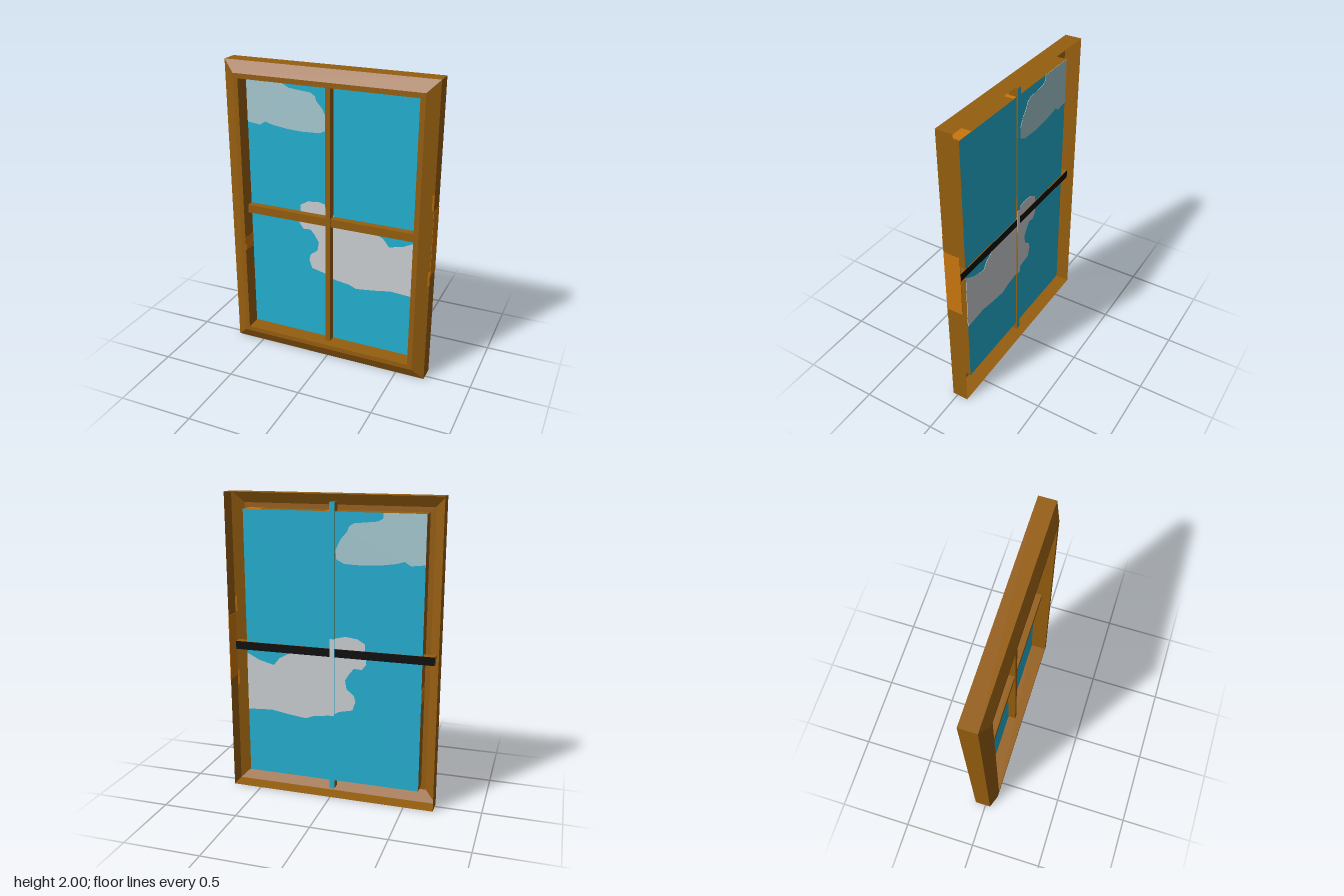
import * as THREE from 'three';

const mat = (name, color, side = THREE.FrontSide) => {
  const m = new THREE.MeshStandardMaterial({ color, side });
  m.name = name;
  return m;
};

export function createModel() {
  const group = new THREE.Group();
  const wood = mat('brown wood', 0x965e0f, THREE.DoubleSide);
  const worn = mat('orange wood', 0xca760d, THREE.DoubleSide);
  const sky = mat('sky blue', 0x23b0d2, THREE.DoubleSide);
  const cloud = mat('cloud grey', 0xccd0d3);
  const haze = mat('pale cloud', 0xa6cbd3);
  const black = mat('black', 0x0a0a0a);

  const add = (name, geometry, material) => {
    const mesh = new THREE.Mesh(geometry, material);
    mesh.name = name;
    group.add(mesh);
    return mesh;
  };
  // box given by its min and max corners
  const box = (name, material, [x0, y0, z0], [x1, y1, z1]) => {
    const mesh = add(name, new THREE.BoxGeometry(x1 - x0, y1 - y0, z1 - z0), material);
    mesh.position.set((x0 + x1) / 2, (y0 + y1) / 2, (z0 + z1) / 2);
    return mesh;
  };

  // hollow frame: rectangular rings joined from the back edge, over the bevel, into the opening
  const rings = [[0, -0.075], [0, 0.035], [0.075, 0.073], [0.107, 0.073], [0.107, -0.033]]
    .map(([inset, z]) => {
      const x = 0.695 - inset, b = inset, t = 2 - inset;
      return [[-x, b, z], [x, b, z], [x, t, z], [-x, t, z]];
    });
  const pos = [];
  for (let r = 0; r < rings.length - 1; r++) {
    for (let i = 0; i < 4; i++) {
      const j = (i + 1) % 4;
      const a = rings[r][i], b = rings[r][j], c = rings[r + 1][j], d = rings[r + 1][i];
      pos.push(...a, ...b, ...c, ...a, ...c, ...d);
    }
  }
  const frameGeo = new THREE.BufferGeometry();
  frameGeo.setAttribute('position', new THREE.Float32BufferAttribute(pos, 3));
  frameGeo.computeVertexNormals();
  add('frame', frameGeo, wood);

  // pane
  const paneZ = -0.033;
  const pane = add('pane', new THREE.PlaneGeometry(1.176, 1.786), sky);
  pane.position.set(0, 1, paneZ);

  // clouds: thin plates showing on both faces of the pane
  const plate = (name, material, points) => {
    const shape = new THREE.Shape(points.map(([x, y]) => new THREE.Vector2(x, y)));
    const mesh = add(name, new THREE.ExtrudeGeometry(shape, { depth: 0.004, bevelEnabled: false }), material);
    mesh.position.z = paneZ - 0.002;
  };
  plate('upperCloud', haze, [
    [-0.588, 1.893], [-0.588, 1.59], [-0.54, 1.585], [-0.5, 1.58], [-0.46, 1.605], [-0.41, 1.59],
    [-0.3, 1.575], [-0.2, 1.57], [-0.08, 1.575], [-0.03, 1.6], [-0.025, 1.66], [-0.06, 1.73],
    [-0.1, 1.775], [-0.11, 1.805], [-0.14, 1.825], [-0.29, 1.84], [-0.325, 1.86], [-0.325, 1.893],
  ]);
  plate('lowerCloud', cloud, [
    [-0.22, 1.07], [-0.22, 1.02], [-0.23, 0.94], [-0.2, 0.9], [-0.15, 0.905], [-0.12, 0.87],
    [-0.09, 0.82], [-0.1, 0.76], [-0.15, 0.72], [-0.16, 0.68], [-0.14, 0.62], [-0.05, 0.6],
    [0, 0.57], [0.13, 0.55], [0.18, 0.53], [0.3, 0.545], [0.42, 0.565], [0.588, 0.555],
    [0.588, 0.95], [0.5, 0.905], [0.4, 0.88], [0.36, 0.93], [0.28, 0.975], [0.2, 1],
    [0.02, 1.02], [-0.01, 1.09], [-0.05, 1.1], [-0.09, 1.11], [-0.17, 1.1],
  ]);

  // glazing bars, their ends running past the opening behind the frame
  box('horizontalBar', [wood, wood, wood, wood, wood, black], [-0.665, 0.97, -0.038], [0.665, 1.025, 0.014]);
  box('verticalBar', [wood, wood, wood, wood, wood, sky], [-0.02, 0.05, -0.042], [0.013, 1.95, 0.02]);
  box('barCloudStrip', cloud, [-0.018, 0.57, -0.044], [0.011, 1.09, -0.042]);

  // worn patches on the outer side, the opening walls and the bevel edge
  box('sidePatch', worn, [0.693, 0.765, -0.075], [0.697, 1.2, 0.035]);
  box('openingPatch', worn, [-0.59, 0.71, -0.033], [-0.586, 0.8, 0.07]);
  box('topPatch', worn, [0.47, 1.892, -0.033], [0.58, 1.895, 0.06]);
  box('topMiddlePatch', worn, [-0.02, 1.892, -0.033], [0.04, 1.895, 0.06]);
  for (const y of [0.75, 1.26]) {
    const chip = add('bevelPatch', new THREE.BoxGeometry(0.012, 0.1, 0.004), worn);
    chip.position.set(0.689, y, 0.038);
    chip.rotation.y = Math.atan2(0.038, 0.075);
  }
  return group;
}
